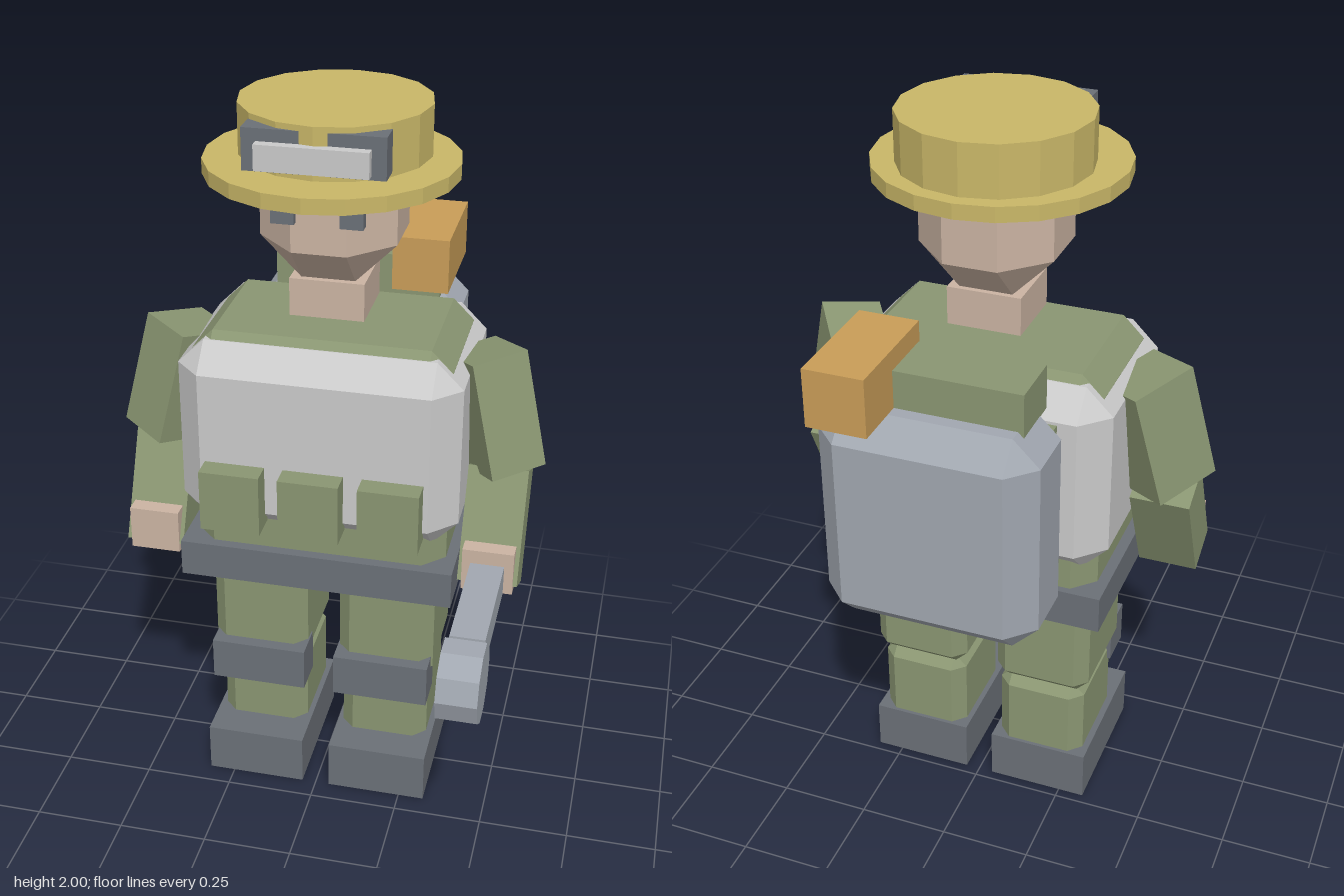
import * as THREE from 'three';
import { ConvexGeometry } from 'three/addons/geometries/ConvexGeometry.js';

const paint = (name, color) => {
  const m = new THREE.MeshStandardMaterial({ color, flatShading: true });
  m.name = name;
  return m;
};

export function createModel() {
  const model = new THREE.Group();
  model.name = 'fieldWorker';

  const green = paint('olive cloth', 0x8a9672);
  const white = paint('light grey', 0xcacaca);
  const slate = paint('dark slate', 0x6b7077);
  const steel = paint('blue grey', 0xa1a7b0);
  const skin = paint('skin', 0xcbb4a3);
  const straw = paint('straw', 0xc9b768);
  const tan = paint('orange tan', 0xc99d58);

  const add = (name, geometry, material, parent = model) => {
    const mesh = new THREE.Mesh(geometry, material);
    mesh.name = name;
    parent.add(mesh);
    return mesh;
  };

  // Plain box given by its [min, max] extent on each axis
  const block = (name, material, [x0, x1], [y0, y1], [z0, z1]) => {
    const mesh = add(name, new THREE.BoxGeometry(x1 - x0, y1 - y0, z1 - z0), material);
    mesh.position.set((x0 + x1) / 2, (y0 + y1) / 2, (z0 + z1) / 2);
    return mesh;
  };

  // Box with every edge and corner cut by c
  const chamfered = (name, material, [x0, x1], [y0, y1], [z0, z1], c) => {
    const half = [(x1 - x0) / 2, (y1 - y0) / 2, (z1 - z0) / 2];
    const points = [];
    for (const sx of [-1, 1]) for (const sy of [-1, 1]) for (const sz of [-1, 1]) {
      for (let axis = 0; axis < 3; axis++) {
        const h = half.map((v, i) => (i === axis ? v : v - c));
        points.push(new THREE.Vector3(sx * h[0], sy * h[1], sz * h[2]));
      }
    }
    const mesh = add(name, new ConvexGeometry(points), material);
    mesh.position.set((x0 + x1) / 2, (y0 + y1) / 2, (z0 + z1) / 2);
    return mesh;
  };

  // Extent on x mirrored by side
  const mirror = (s, a, b) => (s > 0 ? [a, b] : [-b, -a]);

  for (const s of [1, -1]) {
    const side = s > 0 ? 'left' : 'right';

    // Legs
    block(side + 'Boot', slate, mirror(s, 0.04, 0.323), [0, 0.147], [-0.222, 0.19]);
    chamfered(side + 'LowerLeg', green, mirror(s, 0.055, 0.305), [0.11, 0.375], [-0.212, 0.092], 0.035);
    chamfered(side + 'UpperLeg', green, mirror(s, 0.047, 0.32), [0.365, 0.715], [-0.222, 0.112], 0.035);
    block(side + 'KneePad', slate, mirror(s, 0.043, 0.315), [0.31, 0.435], [0.04, 0.148]);

    // Upper arm leans out and forward, and turns about its own length
    const upperArm = add(side + 'UpperArm', new THREE.BoxGeometry(0.16, 0.325, 0.19), green);
    upperArm.position.set(s * 0.44, 1.185, -0.05);
    const lean = new THREE.Quaternion().setFromUnitVectors(
      new THREE.Vector3(0, -1, 0), new THREE.Vector3(s * 0.074, -0.325, 0.035).normalize());
    const turn = new THREE.Quaternion().setFromAxisAngle(new THREE.Vector3(0, 1, 0), s * 0.61);
    upperArm.quaternion.copy(lean).multiply(turn);

    // Forearm swings forward
    const forearm = add(side + 'Forearm', new THREE.BoxGeometry(0.163, 0.315, 0.13), green);
    forearm.position.set(s * 0.47, 0.871, 0.026);
    forearm.rotation.x = -0.44;
    block(side + 'Hand', skin, mirror(s, 0.4, 0.54), [0.73, 0.855], [0.03, 0.152]);

    // Eyes and back straps
    block(side + 'Eye', slate, mirror(s, 0.058, 0.118), [1.735, 1.79], [0.115, 0.148]);
    block(side + 'BackStrap', green, mirror(s, 0.18, 0.26), [0.87, 1.31], [-0.37, -0.28]);
  }

  // Trunk, vest and belt
  chamfered('trunk', green, [-0.35, 0.35], [0.7, 1.41], [-0.295, 0.165], 0.058);
  chamfered('vest', white, [-0.383, 0.383], [0.85, 1.39], [-0.333, 0.203], 0.072);
  block('belt', slate, [-0.38, 0.38], [0.69, 0.795], [-0.315, 0.195]);
  for (const x of [-0.215, 0, 0.215]) {
    block('vestPouch', green, [x - 0.082, x + 0.082], [0.89, 1.065], [0.18, 0.265]);
  }

  // Backpack with its bedroll and parcel
  chamfered('backpack', steel, [-0.29, 0.29], [0.765, 1.378], [-0.605, -0.317], 0.07);
  block('bedroll', green, [-0.235, 0.235], [1.36, 1.48], [-0.5, -0.34]);
  block('parcel', tan, [0.1, 0.26], [1.378, 1.535], [-0.655, -0.335]);

  // Neck and head
  block('neck', skin, [-0.1, 0.1], [1.442, 1.546], [-0.157, 0.04]);
  chamfered('head', skin, [-0.18, 0.18], [1.546, 1.915], [-0.25, 0.13], 0.108);

  // Hat and goggles
  const brim = add('hatBrim', new THREE.CylinderGeometry(0.33, 0.33, 0.04, 20), straw);
  brim.position.set(0, 1.845, -0.025);
  const crown = add('hatCrown', new THREE.CylinderGeometry(0.25, 0.25, 0.15, 16), straw);
  crown.position.set(0, 1.925, -0.065);
  block('goggleFrame', slate, [-0.18, 0.18], [1.877, 1.985], [0.11, 0.178]);
  block('goggleLens', white, [-0.143, 0.143], [1.887, 1.953], [0.15, 0.205]);

  // Hand tool with a round head
  block('toolHandle', steel, [0.423, 0.515], [0.728, 0.815], [-0.055, 0.495]);
  const toolHead = add('toolHead', new THREE.CylinderGeometry(0.106, 0.106, 0.106, 10), steel);
  toolHead.position.set(0.469, 0.725, 0.551);
  toolHead.rotation.z = Math.PI / 2;

  return model;
}
